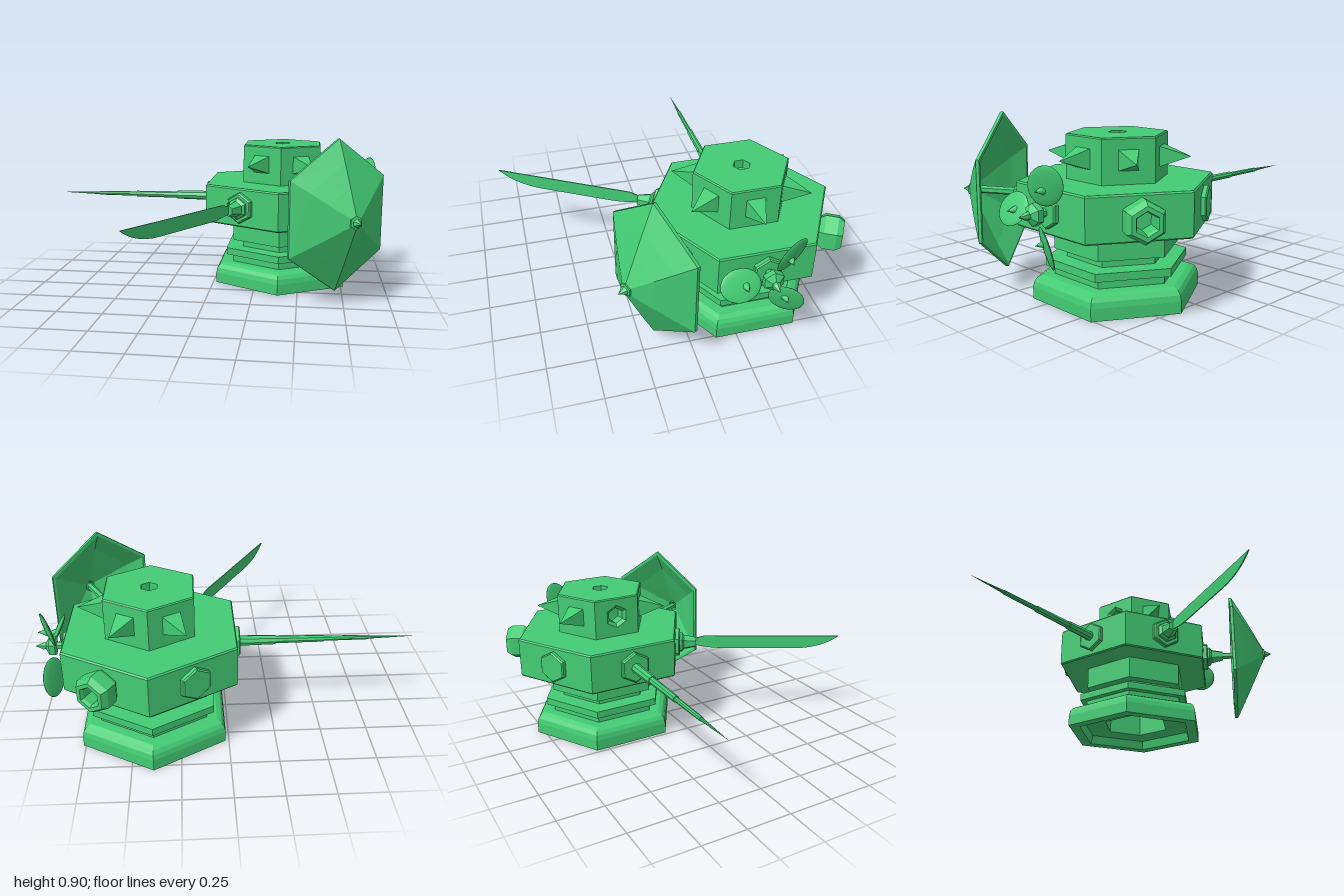
import * as THREE from 'three';

const green = (flat = true) => new THREE.MeshStandardMaterial({ color: 0x43cc74, flatShading: flat, side: THREE.DoubleSide });
const HEX = green();
const SMOOTH = green(false);

function add(parent, name, geometry, material = HEX) {
  const mesh = new THREE.Mesh(geometry, material);
  mesh.name = name;
  parent.add(mesh);
  return mesh;
}

// Turned profile of [radius, height] points, six-sided by default
const turned = (points, sides = 6) =>
  new THREE.LatheGeometry(points.map(([r, h]) => new THREE.Vector2(r, h)), sides);
// The same, pointing outwards along +z
const outward = (points, sides = 6) => turned(points, sides).rotateX(Math.PI / 2);

// Group whose +z points outwards at the given heading around the body axis
function heading(parent, name, degrees, y) {
  const group = new THREE.Group();
  group.name = name;
  group.rotation.y = THREE.MathUtils.degToRad(degrees);
  group.position.y = y;
  parent.add(group);
  return group;
}

function mountPlate(group, r = 0.088) {
  add(group, 'mountPlate', outward([[r, 0.42], [r, 0.45], [r - 0.008, 0.456], [0, 0.456]]));
}

function taperedSocket(group) {
  add(group, 'taperedSocket', outward([[0.062, 0.45], [0.062, 0.468], [0.045, 0.48], [0.03, 0.55], [0, 0.55]]));
}

function addTurret(body) {
  const R = 0.257, apothem = 0.2226, low = 0.59, high = 0.81;
  const turret = new THREE.Group();
  turret.name = 'turret';
  body.add(turret);
  // Roof with a small hexagonal well
  add(turret, 'turretRoof', turned([[R, high], [R - 0.006, 0.816], [0.046, 0.816], [0.046, 0.77], [0, 0.77]]));
  for (let i = 0; i < 6; i++) {
    const angle = 30 + i * 60;
    const side = heading(turret, 'turretSide', angle, 0);
    const wall = new THREE.Shape([[-R / 2, low], [R / 2, low], [R / 2, high], [-R / 2, high]].map(p => new THREE.Vector2(...p)));
    const hasPort = angle === 270;
    if (hasPort) {
      const hole = [];
      for (let k = 0; k < 6; k++) {
        const a = k * Math.PI / 3 + Math.PI / 6;
        hole.push(new THREE.Vector2(0.065 * Math.cos(a), 0.71 + 0.065 * Math.sin(a)));
      }
      wall.holes.push(new THREE.Path(hole));
    }
    add(side, 'turretWall', new THREE.ShapeGeometry(wall).translate(0, 0, apothem));
    if (hasPort) {
      // Recessed port
      add(side, 'port', outward([[0.065, apothem], [0.045, apothem - 0.015], [0.045, apothem - 0.07], [0, apothem - 0.07]])).position.y = 0.71;
    } else {
      // Four-sided spike
      const spike = new THREE.ConeGeometry(0.07, 0.145, 4).rotateY(Math.PI / 4).rotateX(Math.PI / 2);
      add(side, 'spike', spike).position.set(0, 0.71, apothem + 0.0715);
    }
  }
}

function addDish(body, y) {
  const arm = heading(body, 'dishArm', 30, y);
  mountPlate(arm);
  taperedSocket(arm);
  add(arm, 'dishShaft', outward([[0.02, 0.5], [0.02, 0.79]]));
  // Hollow six-sided shell, narrower than tall
  const shell = outward([[0.39, 0.605], [0.41, 0.605], [0.41, 0.622], [0.29, 0.682], [0.175, 0.737], [0.035, 0.802], [0.035, 0.79], [0.17, 0.722], [0.285, 0.667], [0.39, 0.605]]);
  shell.scale(0.8, 1, 1);
  add(arm, 'dish', shell);
  add(arm, 'dishTip', outward([[0.037, 0.79], [0.037, 0.806], [0.024, 0.81], [0, 0.85]]));
}

function addKnife(body, y) {
  const arm = heading(body, 'knifeArm', -30, y);
  mountPlate(arm);
  taperedSocket(arm);
  const s = new THREE.Shape();
  s.moveTo(0.5, -0.012);
  s.lineTo(0.56, -0.02);
  s.quadraticCurveTo(0.64, -0.037, 0.72, -0.037);
  s.lineTo(1.13, -0.037);
  s.quadraticCurveTo(1.29, -0.034, 1.383, 0.04);
  s.lineTo(0.6, 0.04);
  s.lineTo(0.5, 0.012);
  const blade = new THREE.ExtrudeGeometry(s, { depth: 0.006, bevelEnabled: false, curveSegments: 8 });
  blade.translate(0, 0, -0.003).rotateY(-Math.PI / 2);
  add(arm, 'blade', blade);
}

function addAntenna(body, y) {
  const arm = heading(body, 'antennaArm', -90, y);
  mountPlate(arm);
  // Telescoping sections ending in a point
  add(arm, 'antenna', outward([[0.028, 0.45], [0.025, 0.645], [0.02, 0.645], [0.018, 0.9],
    [0.014, 0.9], [0.012, 1.14], [0.009, 1.14], [0, 1.375]], 8));
}

function addPropeller(body, y) {
  const arm = heading(body, 'propellerArm', 90, y);
  mountPlate(arm, 0.08);
  add(arm, 'propellerShaft', outward([[0.022, 0.45], [0.022, 0.49], [0.055, 0.495], [0.055, 0.525], [0.02, 0.545], [0.02, 0.56], [0, 0.6]]));
  for (let i = 0; i < 3; i++) {
    const spoke = new THREE.Group();
    spoke.name = 'propellerBlade';
    spoke.rotation.z = Math.PI + i * Math.PI * 2 / 3;
    spoke.position.z = 0.51;
    arm.add(spoke);
    const paddle = add(spoke, 'paddle', new THREE.SphereGeometry(1, 20, 12).scale(0.103, 0.085, 0.012), SMOOTH);
    paddle.position.x = 0.163;
    paddle.rotation.x = 0.5;
    const horn = add(spoke, 'bladeHorn', new THREE.ConeGeometry(0.02, 0.05, 8).rotateX(Math.PI / 2), SMOOTH);
    horn.position.set(0.14, 0, 0.03);
  }
}

function addNozzle(body, y) {
  const arm = heading(body, 'nozzleArm', 150, y);
  add(arm, 'nozzle', outward([[0.075, 0.42], [0.1, 0.455], [0.1, 0.52], [0.08, 0.55], [0.058, 0.55], [0.05, 0.535], [0.05, 0.45], [0, 0.45]]));
}

export function createModel() {
  const model = new THREE.Group();
  model.name = 'turretMachine';
  const body = new THREE.Group();
  body.name = 'body';
  body.position.set(0.39, 0, -0.355);
  model.add(body);

  // Rounded base, hollow underneath
  add(body, 'base', turned([[0, 0.35], [0.2, 0.35], [0.2, 0.05], [0.345, 0.05], [0.36, 0], [0.43, 0], [0.43, 0.06],
    [0.423, 0.088], [0.408, 0.108], [0.38, 0.12], [0.3, 0.12]]));
  // Stepped neck
  add(body, 'neck', turned([[0.32, 0.115], [0.32, 0.165], [0.363, 0.165], [0.363, 0.205], [0.258, 0.205],
    [0.258, 0.25], [0.32, 0.25], [0.32, 0.376]]));
  // Wide hexagonal drum
  add(body, 'drum', turned([[0.21, 0.375], [0.49, 0.375], [0.497, 0.382], [0.497, 0.588], [0.49, 0.596], [0, 0.596]]));

  addTurret(body);
  const armHeight = 0.487;
  addDish(body, armHeight);
  addKnife(body, armHeight);
  addAntenna(body, armHeight);
  addPropeller(body, armHeight);
  addNozzle(body, armHeight);
  mountPlate(heading(body, 'blankMount', -150, armHeight));
  return model;
}
